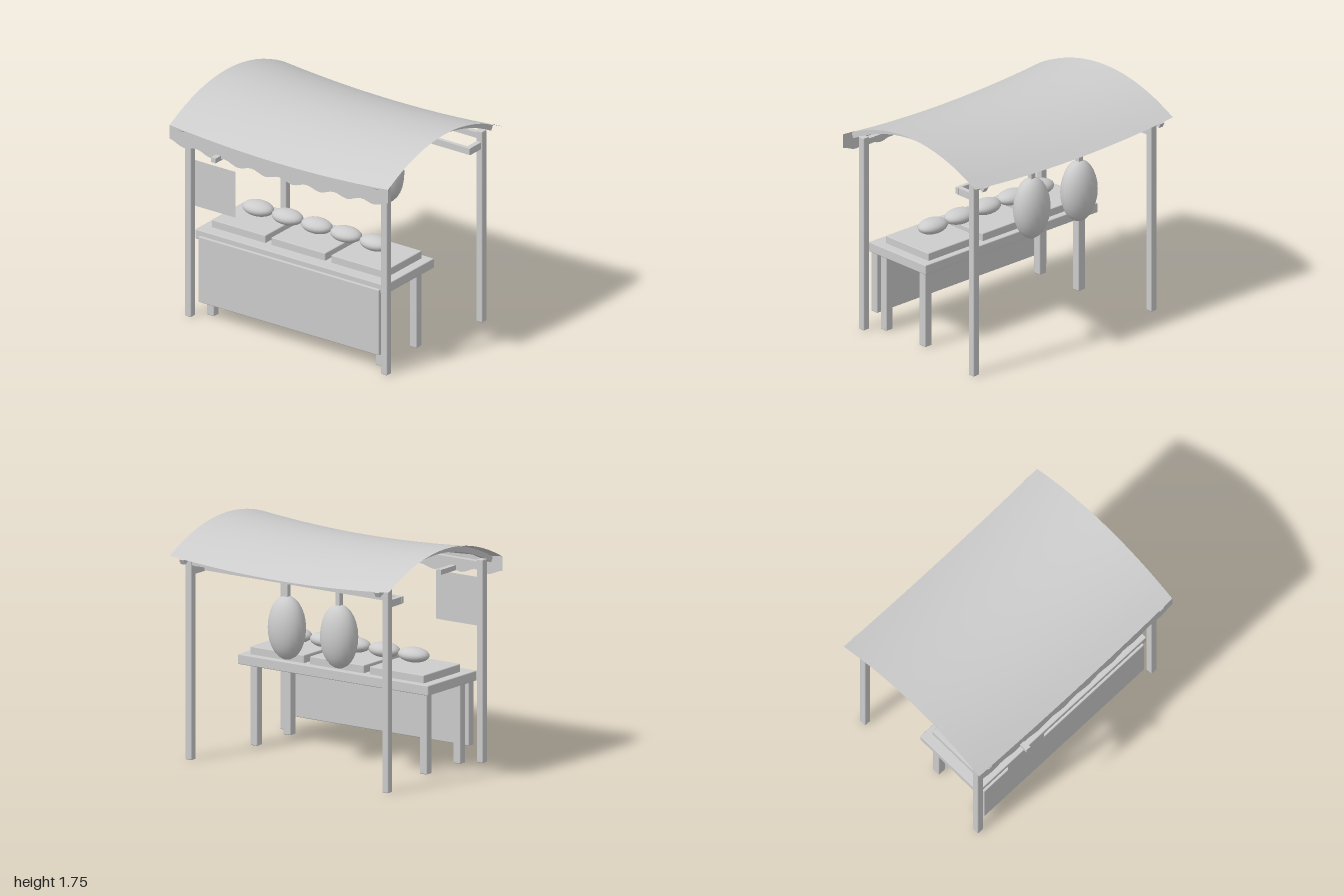
import * as THREE from 'three';
import { RoundedBoxGeometry } from 'three/addons/geometries/RoundedBoxGeometry.js';

const plain = new THREE.MeshStandardMaterial({ color: 0xcccccc, side: THREE.DoubleSide });
plain.name = 'plainGrey';

// Canopy: arched from front to back, sagging along its width
const ROOF_Z = -0.03, ROOF_HALF = 0.715;
const sag = (x) => 0.05 * (1 - x * x);
const arch = (z) => 1.75 - 0.195 * ((z - ROOF_Z) / ROOF_HALF) ** 2;
const roofY = (x, z) => arch(z) - sag(x);

export function createModel() {
  const model = new THREE.Group();
  model.name = 'marketStall';

  const add = (name, geometry, x = 0, y = 0, z = 0) => {
    const mesh = new THREE.Mesh(geometry, plain);
    mesh.name = name;
    mesh.position.set(x, y, z);
    model.add(mesh);
    return mesh;
  };
  // Box given by its lower and upper limits, with an optional small bevel
  const block = (name, [x0, x1], [y0, y1], [z0, z1], bevel = 0) => {
    const size = [x1 - x0, y1 - y0, z1 - z0];
    const geometry = bevel
      ? new RoundedBoxGeometry(...size, 1, bevel)
      : new THREE.BoxGeometry(...size);
    return add(name, geometry, (x0 + x1) / 2, (y0 + y1) / 2, (z0 + z1) / 2);
  };
  const ellipsoid = (name, radii, x, y, z) => {
    add(name, new THREE.SphereGeometry(1, 20, 14), x, y, z).scale.set(...radii);
  };

  // Canopy cloth
  const cloth = new THREE.PlaneGeometry(2, 2 * ROOF_HALF, 24, 16);
  cloth.rotateX(-Math.PI / 2).translate(0, 0, ROOF_Z);
  const cp = cloth.attributes.position;
  for (let i = 0; i < cp.count; i++) cp.setY(i, roofY(cp.getX(i), cp.getZ(i)));
  cloth.computeVertexNormals();
  add('canopy', cloth);

  // Scalloped valance hanging from the front edge
  const frontZ = ROOF_Z + ROOF_HALF;
  const valance = new THREE.PlaneGeometry(2, 1, 64, 1);
  const vp = valance.attributes.position;
  for (let i = 0; i < vp.count; i++) {
    const x = vp.getX(i);
    const drop = vp.getY(i) > 0 ? 0 : 0.11 + 0.03 * Math.sin(4 * Math.PI * x) ** 2;
    vp.setXYZ(i, x, roofY(x, frontZ) - drop, frontZ);
  }
  valance.computeVertexNormals();
  add('valance', valance);

  // Curved rafter section, swept across its width
  const upper = [], lower = [];
  for (let i = 0; i <= 16; i++) {
    const z = ROOF_Z + 0.71 * (i / 8 - 1);
    const slope = -0.39 * (z - ROOF_Z) / ROOF_HALF ** 2;
    const n = new THREE.Vector2(-slope, 1).normalize().multiplyScalar(0.021);
    const centre = new THREE.Vector2(z, arch(z) - 0.037);
    upper.push(centre.clone().add(n));
    lower.unshift(centre.clone().sub(n));
  }
  const rafter = new THREE.ExtrudeGeometry(new THREE.Shape([...upper, ...lower]), {
    depth: 0.04, bevelEnabled: false,
  });
  rafter.translate(0, 0, -0.02).rotateY(-Math.PI / 2);

  for (const side of [-1, 1]) {
    const px = [side * 0.898 - 0.028, side * 0.898 + 0.028];
    const lx = [side * 0.775 - 0.033, side * 0.775 + 0.033];
    add('rafter', rafter, side * 0.89);
    block('frontPost', px, [0, 1.545], [0.54, 0.597], 0.007);
    block('backPost', px, [0, 1.545], [-0.65, -0.593], 0.007);
    block('hangingBarArm', [side * 0.898 - 0.02, side * 0.898 + 0.02], [1.405, 1.46], [-0.6, -0.46]);
    block('frontTableLeg', lx, [0, 0.63], [0.42, 0.485], 0.007);
    block('backTableLeg', lx, [0, 0.63], [0, 0.065], 0.007);
  }

  // Rails between the posts and the bar for hanging goods
  block('frontRail', [-0.89, 0.89], [1.48, 1.525], [0.548, 0.59]);
  block('backRail', [-0.89, 0.89], [1.48, 1.525], [-0.642, -0.6]);
  block('hangingBar', [-0.92, 0.92], [1.41, 1.46], [-0.475, -0.445]);

  // Counter, front panel and trays
  block('counterTop', [-0.87, 0.87], [0.62, 0.697], [-0.07, 0.545], 0.007);
  block('frontPanel', [-0.828, 0.828], [0.125, 0.655], [0.5, 0.565], 0.007);
  for (const x of [-0.547, 0, 0.547]) {
    block('tray', [x - 0.247, x + 0.247], [0.69, 0.757], [-0.02, 0.443], 0.007);
  }

  // Goods on the counter
  for (let i = -2; i <= 2; i++) ellipsoid('fruit', [0.13, 0.056, 0.09], i * 0.268, 0.836, 0.21);

  // Hanging goods with their hooks
  for (const x of [-0.33, 0.147]) {
    ellipsoid('hangingGood', [0.153, 0.243, 0.121], x, 1.072, -0.445);
    block('hook', [x - 0.02, x + 0.02], [1.29, 1.41], [-0.465, -0.425]);
  }

  // Sign and its bracket
  block('signBracket', [-0.575, -0.532], [1.39, 1.428], [0.5, 0.75]);
  add('signBoard', new THREE.PlaneGeometry(0.375, 0.37), -0.553, 1.17, 0.725);

  return model;
}
